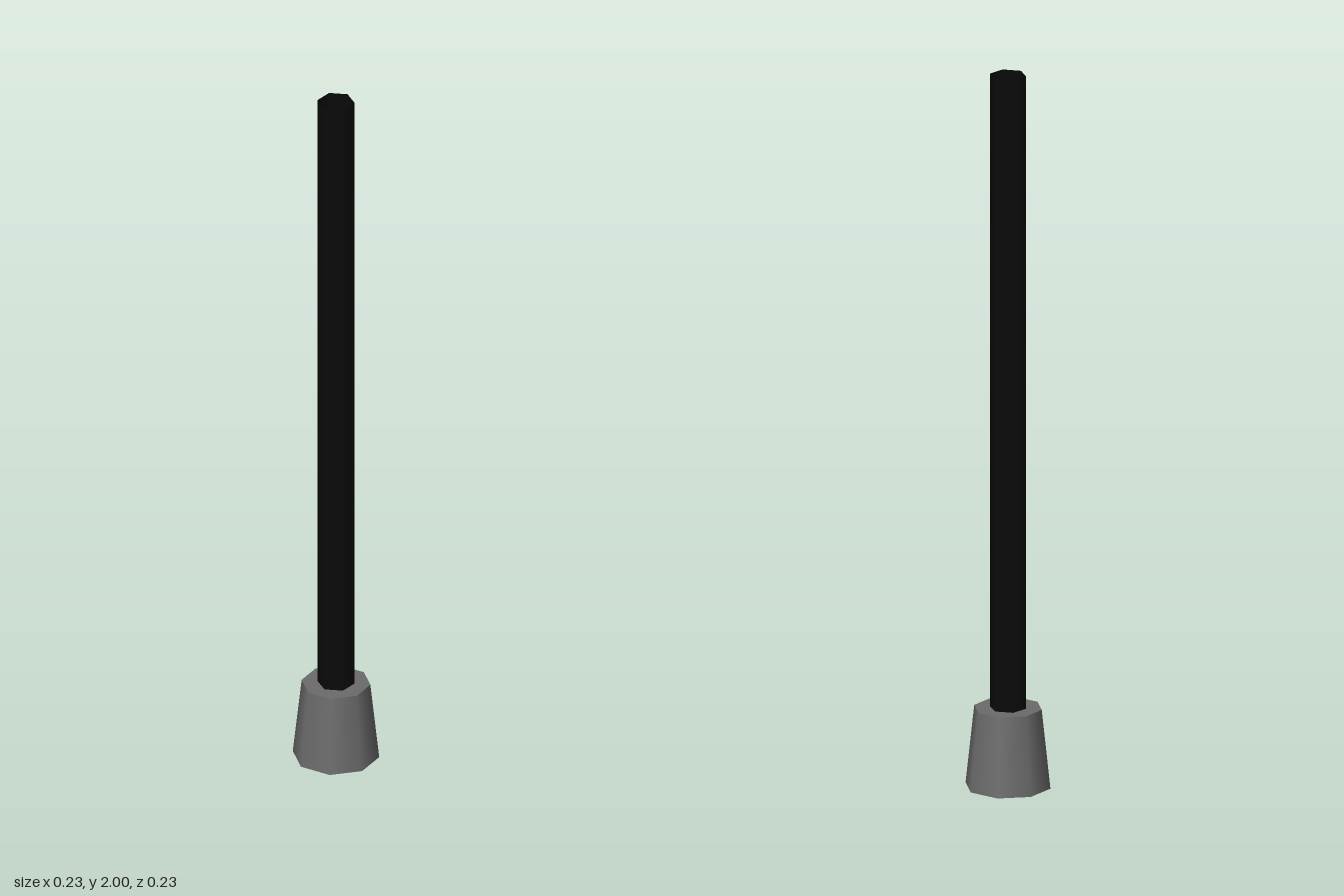
import * as THREE from 'three';

export function createModel() {
  const group = new THREE.Group();
  const baseHeight = 0.22, totalHeight = 2;

  const baseMaterial = new THREE.MeshStandardMaterial({ color: 0x6b6b6b, side: THREE.DoubleSide });
  const poleMaterial = new THREE.MeshStandardMaterial({ color: 0x0a0a0a, side: THREE.DoubleSide });

  const add = (name, geometry, material, y) => {
    const mesh = new THREE.Mesh(geometry, material);
    mesh.name = name;
    mesh.position.y = y;
    group.add(mesh);
  };

  // Tapered eight-sided foot, open underneath
  add('baseWall', new THREE.CylinderGeometry(0.093, 0.117, baseHeight, 8, 1, true), baseMaterial, baseHeight / 2);

  // Flat lid closing the top of the foot
  add('baseTop', new THREE.CircleGeometry(0.093, 8).rotateX(-Math.PI / 2), baseMaterial, baseHeight);

  // Six-sided open tube standing on the lid, corners on the x axis
  const poleHeight = totalHeight - baseHeight;
  add('pole', new THREE.CylinderGeometry(0.05, 0.05, poleHeight, 6, 1, true, Math.PI / 6), poleMaterial,
    baseHeight + poleHeight / 2);

  return group;
}
